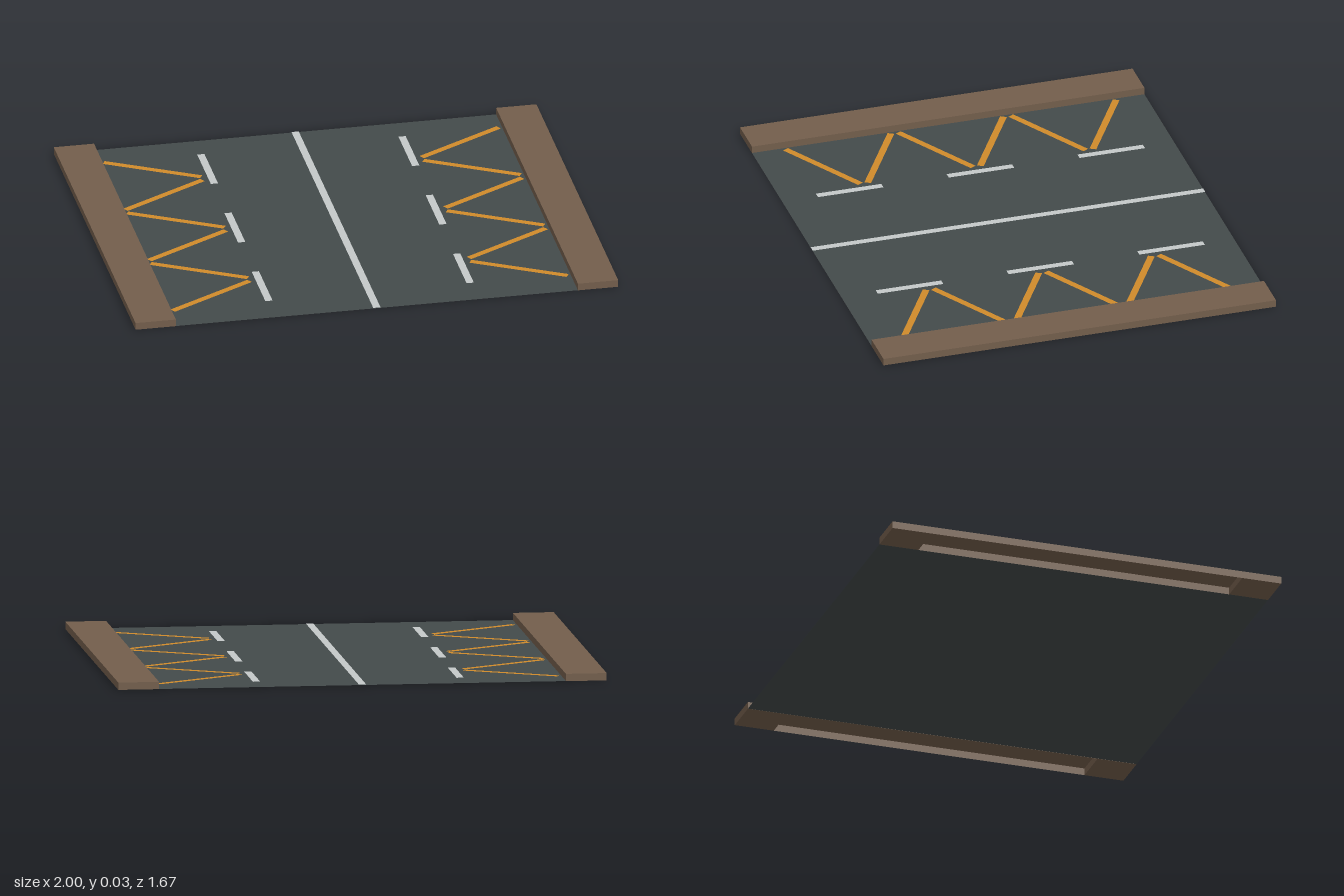
import * as THREE from 'three';

const HALF_X = 1, HALF_Z = 0.833, CURB_W = 0.167, CURB_H = 0.03, END = 0.167;

function material(name, color, side = THREE.FrontSide) {
  const m = new THREE.MeshStandardMaterial({ color, side });
  m.name = name;
  return m;
}

// Flat rectangle lying in the ground plane
function flat(name, mat, w, l, x, y, z, turn = 0) {
  const geo = new THREE.PlaneGeometry(w, l).rotateX(-Math.PI / 2).rotateY(turn);
  const mesh = new THREE.Mesh(geo, mat);
  mesh.name = name;
  mesh.position.set(x, y, z);
  return mesh;
}

// Box keeping only the listed faces (0 +x, 1 -x, 2 +y, 3 -y, 4 +z, 5 -z)
function shell(name, mat, length, z, faces) {
  const geo = new THREE.BoxGeometry(CURB_W, CURB_H, length);
  const all = Array.from(geo.index.array);
  geo.setIndex(faces.flatMap((f) => all.slice(f * 6, f * 6 + 6)));
  geo.clearGroups();
  const mesh = new THREE.Mesh(geo, mat);
  mesh.name = name;
  mesh.position.set(0, CURB_H / 2, z);
  return mesh;
}

export function createModel() {
  const root = new THREE.Group();
  root.name = 'roadSection';
  const asphalt = material('asphalt', 0x434a4a, THREE.DoubleSide);
  const white = material('whitePaint', 0xc4c8c8);
  const orange = material('orangePaint', 0xd08a2a);
  const brown = material('curbBrown', 0x735e4c, THREE.DoubleSide);

  // Road surface and centre line
  root.add(flat('roadSurface', asphalt, 2 * (HALF_X - CURB_W), 2 * HALF_Z, 0, 0.0005, 0));
  root.add(flat('centreLine', white, 0.03, 2 * HALF_Z, 0, 0.003, 0));

  for (const s of [-1, 1]) {
    // Curb: closed end blocks and a middle span open underneath
    const curb = new THREE.Group();
    curb.name = s > 0 ? 'leftCurb' : 'rightCurb';
    curb.position.x = s * (HALF_X - CURB_W / 2);
    curb.add(shell('curbSpan', brown, 2 * (HALF_Z - END), 0, [0, 1, 2]));
    for (const e of [-1, 1]) {
      curb.add(shell('curbEnd', brown, END, e * (HALF_Z - END / 2), [0, 1, 2, 3, 4, 5]));
    }
    root.add(curb);

    // Lane dashes
    for (let i = -1; i <= 1; i++) {
      root.add(flat('laneDash', white, 0.03, 0.278, s * 0.417, 0.003, -0.01 + i * 0.555));
    }

    // Zigzag edge marking
    for (let i = 0; i < 6; i++) {
      const turn = s * (i % 2 ? -1 : 1) * Math.PI / 6;
      root.add(flat('zigzagStripe', orange, 0.417, 0.028, s * 0.638, 0.003, -0.604 + i * 0.239, turn));
    }
  }
  return root;
}
